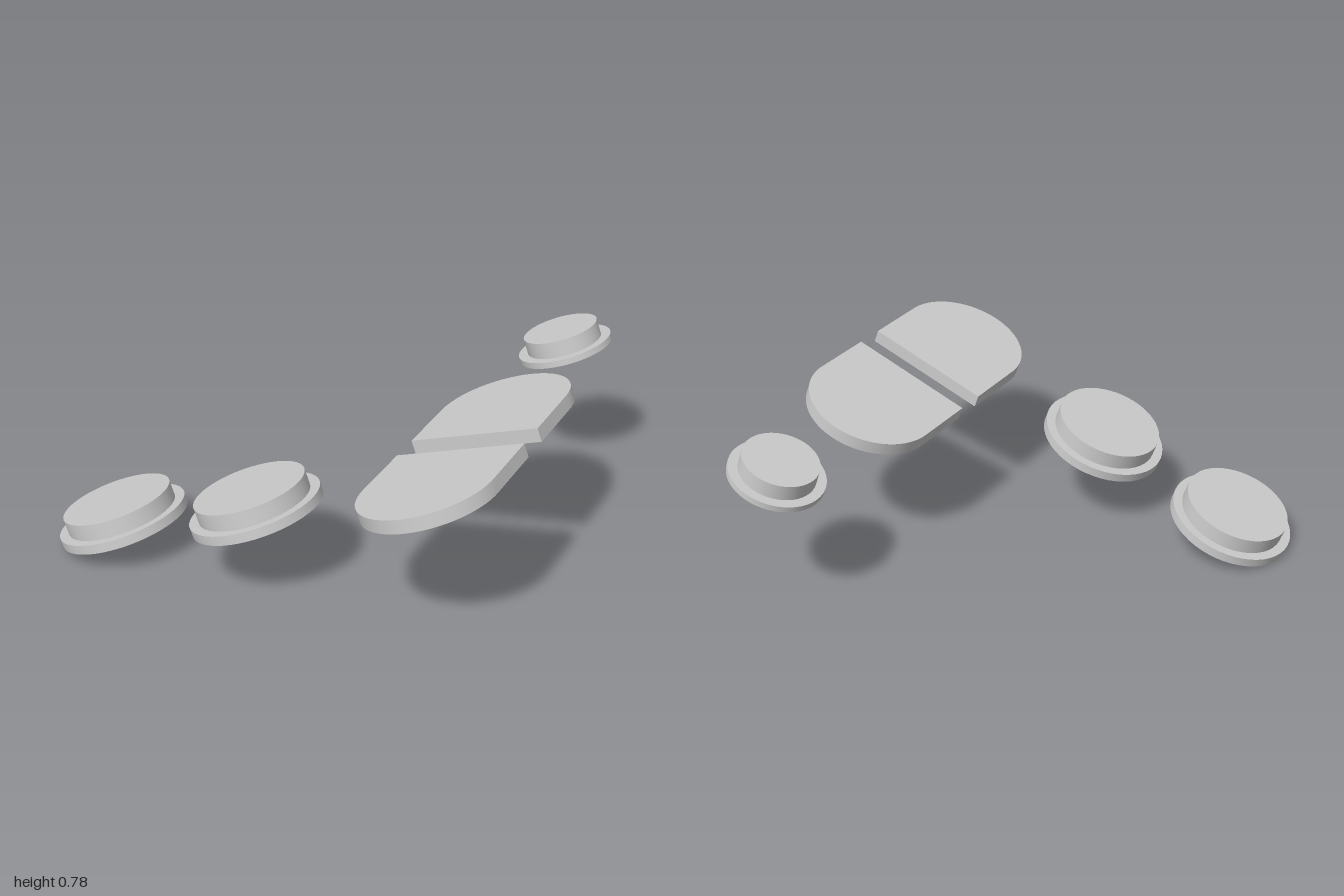
import * as THREE from 'three';
import { toCreasedNormals } from 'three/addons/utils/BufferGeometryUtils.js';

const TILT = THREE.MathUtils.degToRad(20);

// Thin open-bottomed shells, so both sides show
const material = new THREE.MeshStandardMaterial({ color: 0xcccccc, side: THREE.DoubleSide });

// Hollow round button: flange skirt, flange ledge, raised body, flat top
function createButton(name, x, z, flangeR, bodyR, flangeH, bodyH) {
  const profile = [
    [flangeR, 0], [flangeR, flangeH], [bodyR, flangeH], [bodyR, flangeH + bodyH], [0, flangeH + bodyH],
  ].map(([r, y]) => new THREE.Vector2(r, y));
  const geometry = toCreasedNormals(new THREE.LatheGeometry(profile, 48), 0.6);
  const mesh = new THREE.Mesh(geometry, material);
  mesh.name = name;
  mesh.position.set(x, 0, z);
  return mesh;
}

// Hollow D-shaped pad: straight edge at z = 0, rounded end toward -z
function createPad(name, x, z, turn) {
  const halfWidth = 0.2925, length = 0.597, height = 0.06;
  const straight = length - halfWidth;
  const shape = new THREE.Shape();
  shape.moveTo(-halfWidth, 0);
  shape.lineTo(halfWidth, 0);
  shape.lineTo(halfWidth, straight);
  shape.absarc(0, straight, halfWidth, 0, Math.PI, false);
  shape.closePath();

  const lid = new THREE.Mesh(new THREE.ShapeGeometry(shape, 24), material);
  lid.name = name + 'Top';
  lid.rotation.x = -Math.PI / 2;
  lid.position.y = height;

  // Wall: a strip bent around the outline
  const outline = shape.getPoints(24);
  const strip = new THREE.PlaneGeometry(1, height, outline.length - 1, 1);
  const pos = strip.attributes.position;
  for (let i = 0; i < pos.count; i++) {
    const p = outline[i % outline.length];
    pos.setXYZ(i, p.x, pos.getY(i) + height / 2, -p.y);
  }
  const wall = new THREE.Mesh(toCreasedNormals(strip, 0.6), material);
  wall.name = name + 'Wall';

  const pad = new THREE.Group();
  pad.name = name;
  pad.add(lid, wall);
  pad.position.set(x, 0, z);
  pad.rotation.y = turn;
  return pad;
}

export function createModel() {
  // All parts share one sloping base plane
  const panel = new THREE.Group();
  panel.name = 'slopedPanel';
  panel.position.y = 0.36;
  panel.rotation.z = TILT;
  panel.add(
    createButton('outerButton', -0.765, 0.69, 0.284, 0.2415, 0.042, 0.0735),
    createButton('innerButton', -0.057, 0.69, 0.284, 0.2415, 0.042, 0.0735),
    createButton('smallButton', 0.761, -0.763, 0.2115, 0.168, 0.028, 0.0735),
    createPad('frontPad', 0.77, 0.377, Math.PI),
    createPad('backPad', 0.77, 0.241, 0),
  );

  const model = new THREE.Group();
  model.name = 'buttonSet';
  model.add(panel);
  return model;
}
